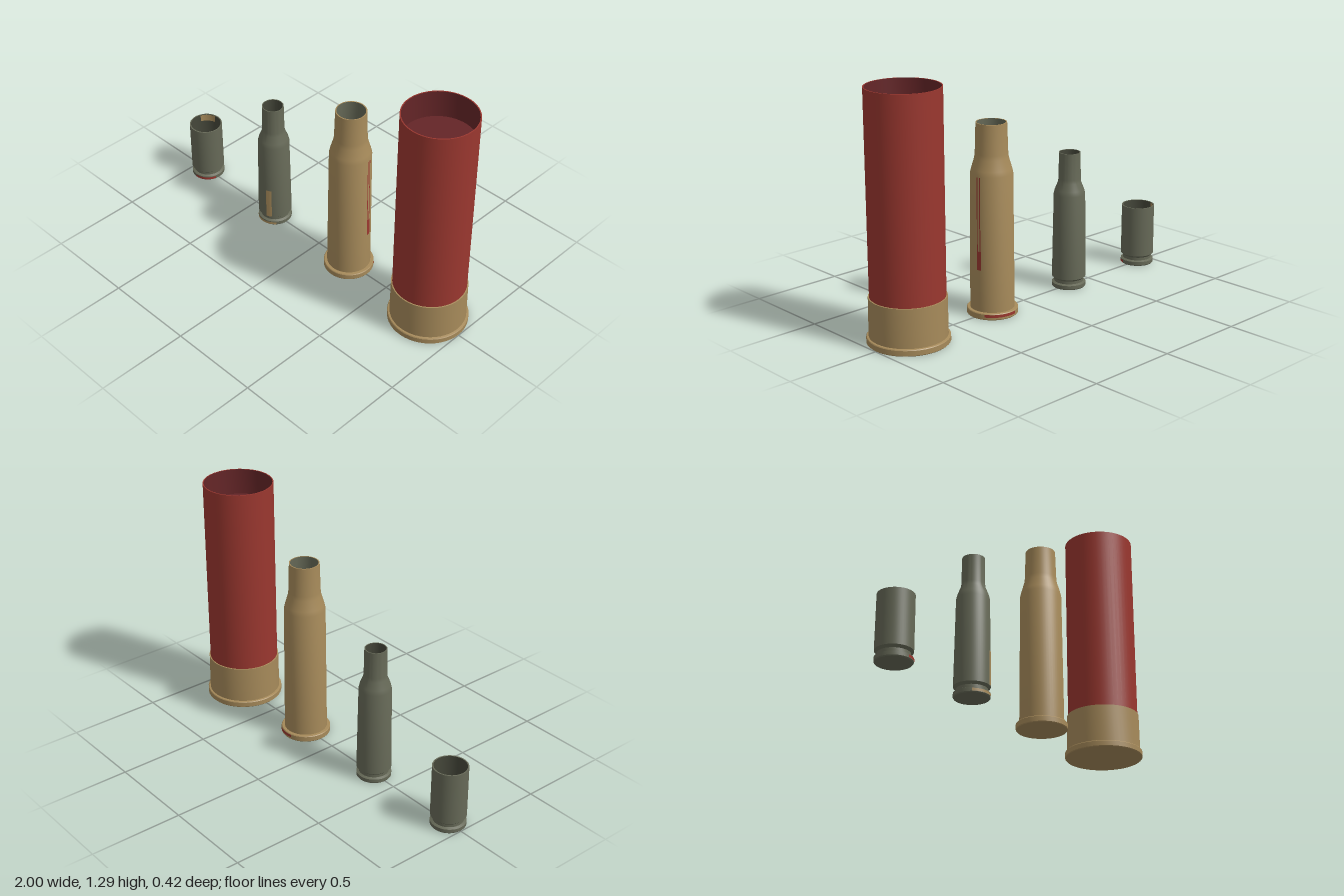
import * as THREE from 'three';
import { toCreasedNormals } from 'three/addons/utils/BufferGeometryUtils.js';

const paint = (name, color) => {
  const m = new THREE.MeshStandardMaterial({ color });
  m.name = name;
  return m;
};

export function createModel() {
  const brass = paint('brass', 0xa68a5a);
  const olive = paint('olive steel', 0x666957);
  const darkOlive = paint('dark olive interior', 0x45473a);
  const red = paint('red plastic', 0x9a372f);
  const darkRed = paint('dark red interior', 0x642527);

  const model = new THREE.Group();
  model.name = 'spentCartridgeCases';

  // Revolved surface; start and sweep in degrees, measured from +z towards +x
  function turned(name, profile, material, start = 0, sweep = 360) {
    const points = profile.map(([r, y]) => new THREE.Vector2(r, y));
    const segments = Math.max(4, Math.round(sweep / 7.5));
    const rad = THREE.MathUtils.degToRad;
    const geometry = new THREE.LatheGeometry(points, segments, rad(start), rad(sweep));
    const mesh = new THREE.Mesh(toCreasedNormals(geometry, 0.45), material);
    mesh.name = name;
    return mesh;
  }

  // Thin painted patch wrapped around a wall, from (r0, y0) up to (r1, y1)
  function patch(name, r0, y0, r1, y1, material, start, sweep) {
    return turned(name, [[r0 + 0.002, y0], [r1 + 0.002, y1]], material, start, sweep);
  }

  function addCase(name, x, ...parts) {
    const group = new THREE.Group();
    group.name = name;
    group.position.x = x;
    group.add(...parts);
    model.add(group);
  }

  // Rim and extractor groove shared by the two small cases
  const groovedBase = [[0, 0], [0.088, 0], [0.092, 0.005], [0.092, 0.024],
    [0.079, 0.03], [0.079, 0.046], [0.092, 0.058]];

  // Short straight case
  addCase('pistolCase', -0.908,
    turned('body', [...groovedBase, [0.091, 0.342], [0.084, 0.342]], olive),
    turned('interior', [[0.084, 0.342], [0.084, 0.07], [0, 0.07]], darkOlive),
    patch('redRimMark', 0.092, 0.006, 0.092, 0.02, red, 0, 75),
    turned('innerBrassMark', [[0.082, 0.341], [0.082, 0.3]], brass, 190, 60));

  // Small bottleneck case
  addCase('carbineCase', -0.345,
    turned('body', [...groovedBase, [0.085, 0.525], [0.079, 0.55], [0.063, 0.59],
      [0.06, 0.61], [0.058, 0.755], [0.053, 0.755]], olive),
    turned('interior', [[0.053, 0.755], [0.053, 0.59], [0.074, 0.53],
      [0.078, 0.07], [0, 0.07]], darkOlive),
    patch('brassStripe', 0.092, 0.06, 0.09, 0.24, brass, 15, 20),
    patch('brassRimMark', 0.092, 0.006, 0.092, 0.02, brass, -50, 100));

  // Large rimmed bottleneck case
  addCase('rifleCase', 0.225,
    turned('body', [[0, 0], [0.131, 0], [0.134, 0.004], [0.134, 0.03], [0.131, 0.034],
      [0.116, 0.035], [0.11, 0.755], [0.104, 0.78], [0.088, 0.835], [0.085, 0.86],
      [0.08, 1.018], [0.074, 1.018]], brass),
    turned('interior', [[0.074, 1.018], [0.078, 0.85], [0.1, 0.76],
      [0.1, 0.07], [0, 0.07]], olive),
    patch('redStripe', 0.1145, 0.26, 0.1135, 0.36, red, 96, 12),
    patch('redLineFront', 0.1135, 0.36, 0.1105, 0.75, red, 95, 3),
    patch('redLineBack', 0.1135, 0.36, 0.1105, 0.75, red, 103, 3),
    patch('redRimMark', 0.134, 0.015, 0.134, 0.03, red, 120, 75));

  // Wide shell with a brass head and a plastic hull
  addCase('shotgunShell', 0.79,
    turned('brassHead', [[0, 0], [0.206, 0], [0.21, 0.004], [0.21, 0.03], [0.207, 0.034],
      [0.198, 0.036], [0.196, 0.239], [0.188, 0.24]], brass),
    turned('hull', [[0.19, 0.235], [0.19, 1.288], [0.184, 1.288]], red),
    turned('hullInterior', [[0.184, 1.288], [0.182, 1.145], [0, 1.145]], darkRed));

  return model;
}
